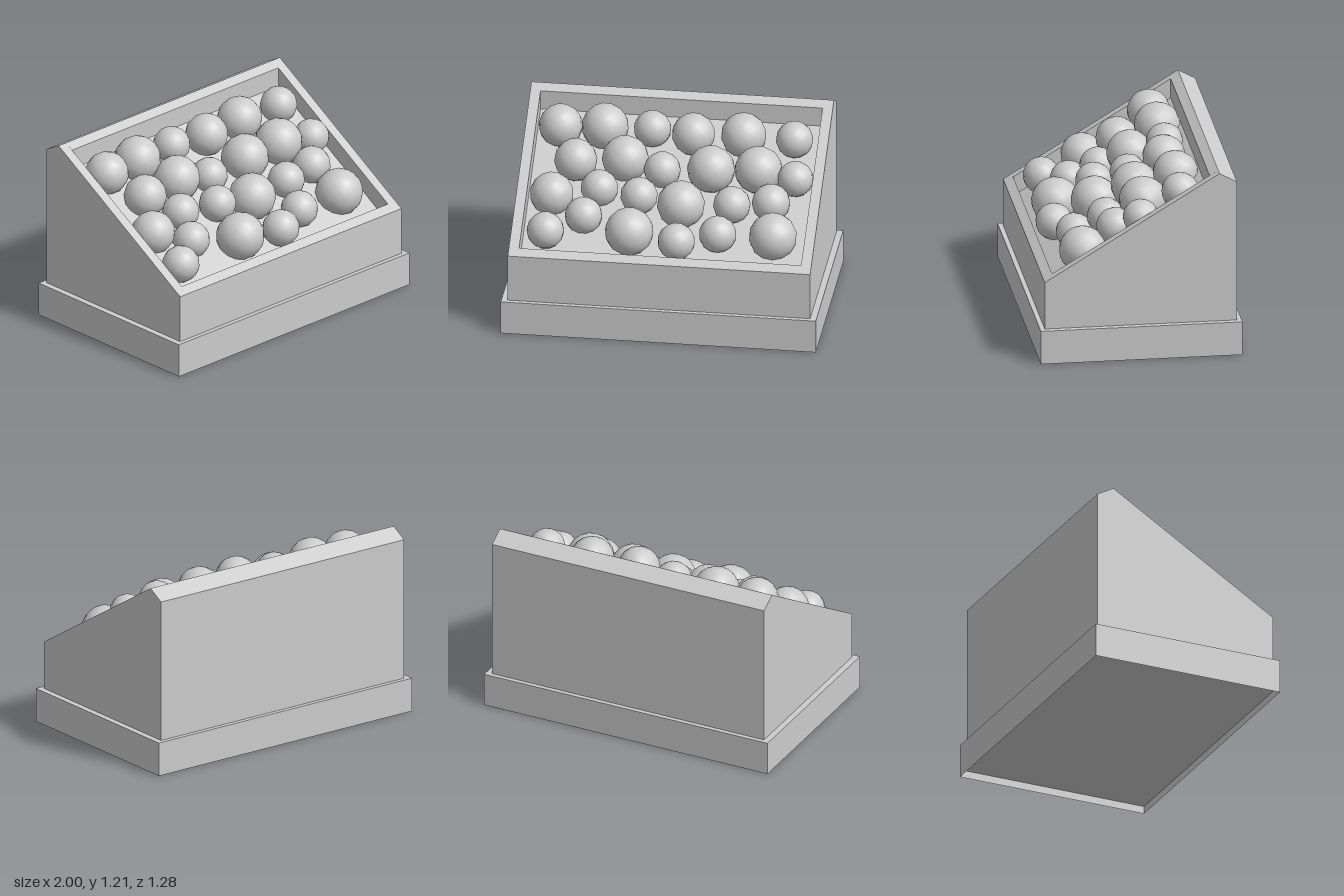
import * as THREE from 'three';

const grey = new THREE.MeshStandardMaterial({ color: 0xcccccc });
const greyDouble = new THREE.MeshStandardMaterial({ color: 0xcccccc, side: THREE.DoubleSide });

function add(parent, name, geometry, material = grey) {
  const mesh = new THREE.Mesh(geometry, material);
  mesh.name = name;
  parent.add(mesh);
  return mesh;
}

// Extrude a [z, y] side profile along x, centred on x = cx
function sideProfile(points, width, cx) {
  const shape = new THREE.Shape(points.map(([z, y]) => new THREE.Vector2(z, y)));
  return new THREE.ExtrudeGeometry(shape, { depth: width, bevelEnabled: false })
    .rotateY(-Math.PI / 2)
    .translate(cx + width / 2, 0, 0);
}

export function createModel() {
  const model = new THREE.Group();
  model.name = 'displayBin';

  // Plinth: a slab with a thin skirt that leaves a shallow hollow underneath
  const plinth = new THREE.Group();
  plinth.name = 'plinth';
  model.add(plinth);
  add(plinth, 'plinthSlab', new THREE.BoxGeometry(2, 0.17, 1.28).translate(0, 0.135, 0));
  for (const s of [-1, 1]) {
    add(plinth, 'skirtLong', new THREE.PlaneGeometry(2, 0.05), greyDouble)
      .position.set(0, 0.025, s * 0.64);
    const end = add(plinth, 'skirtEnd', new THREE.PlaneGeometry(1.28, 0.05), greyDouble);
    end.rotation.y = Math.PI / 2;
    end.position.set(s, 0.025, 0);
  }

  // Bin: sloped side walls and a middle section with the recessed tray
  const bin = new THREE.Group();
  bin.name = 'bin';
  model.add(bin);
  const back = [[-0.5, 1.205], [-0.61, 1.145], [-0.61, 0.22]];
  const front = [[0.61, 0.22], [0.61, 0.53]];
  const tray = [[0.555, 0.563], [0.53, 0.453], [-0.445, 1.045], [-0.445, 1.172]];
  for (const s of [-1, 1]) {
    add(bin, 'sideWall', sideProfile([...front, ...back], 0.065, s * 0.9275));
  }
  add(bin, 'trayAndWalls', sideProfile([...front, ...tray, ...back], 1.79, 0));

  // Round goods lying in the tray: x, y, z, radius
  const balls = [
    [-0.745, 1.02, -0.285, 0.137], [-0.465, 1.025, -0.30, 0.147], [-0.165, 1.025, -0.305, 0.117],
    [0.10, 1.025, -0.265, 0.135], [0.415, 1.025, -0.295, 0.142], [0.74, 1.023, -0.28, 0.117],
    [-0.62, 0.895, -0.067, 0.135], [-0.31, 0.905, -0.105, 0.147], [-0.07, 0.865, -0.06, 0.115],
    [0.24, 0.89, -0.06, 0.15], [0.54, 0.90, -0.07, 0.15], [0.78, 0.875, -0.025, 0.113],
    [-0.745, 0.75, 0.137, 0.137], [-0.45, 0.78, 0.078, 0.117], [-0.19, 0.775, 0.14, 0.117],
    [0.08, 0.747, 0.172, 0.15], [0.40, 0.753, 0.147, 0.117], [0.645, 0.77, 0.12, 0.12],
    [-0.75, 0.62, 0.395, 0.117], [-0.527, 0.67, 0.255, 0.117], [-0.22, 0.64, 0.38, 0.152],
    [0.085, 0.615, 0.43, 0.117], [0.335, 0.635, 0.335, 0.117], [0.685, 0.64, 0.33, 0.15],
  ];
  const goods = new THREE.Group();
  goods.name = 'roundGoods';
  model.add(goods);
  const ballGeometry = new THREE.SphereGeometry(1.01, 14, 10);
  balls.forEach(([x, y, z, r], i) => {
    const ball = add(goods, 'ball', ballGeometry);
    ball.position.set(x, y, z);
    ball.scale.setScalar(r);
    ball.rotation.set(0.55, i * 1.3, 0); // tilted with the slope, each turned differently
  });

  return model;
}
